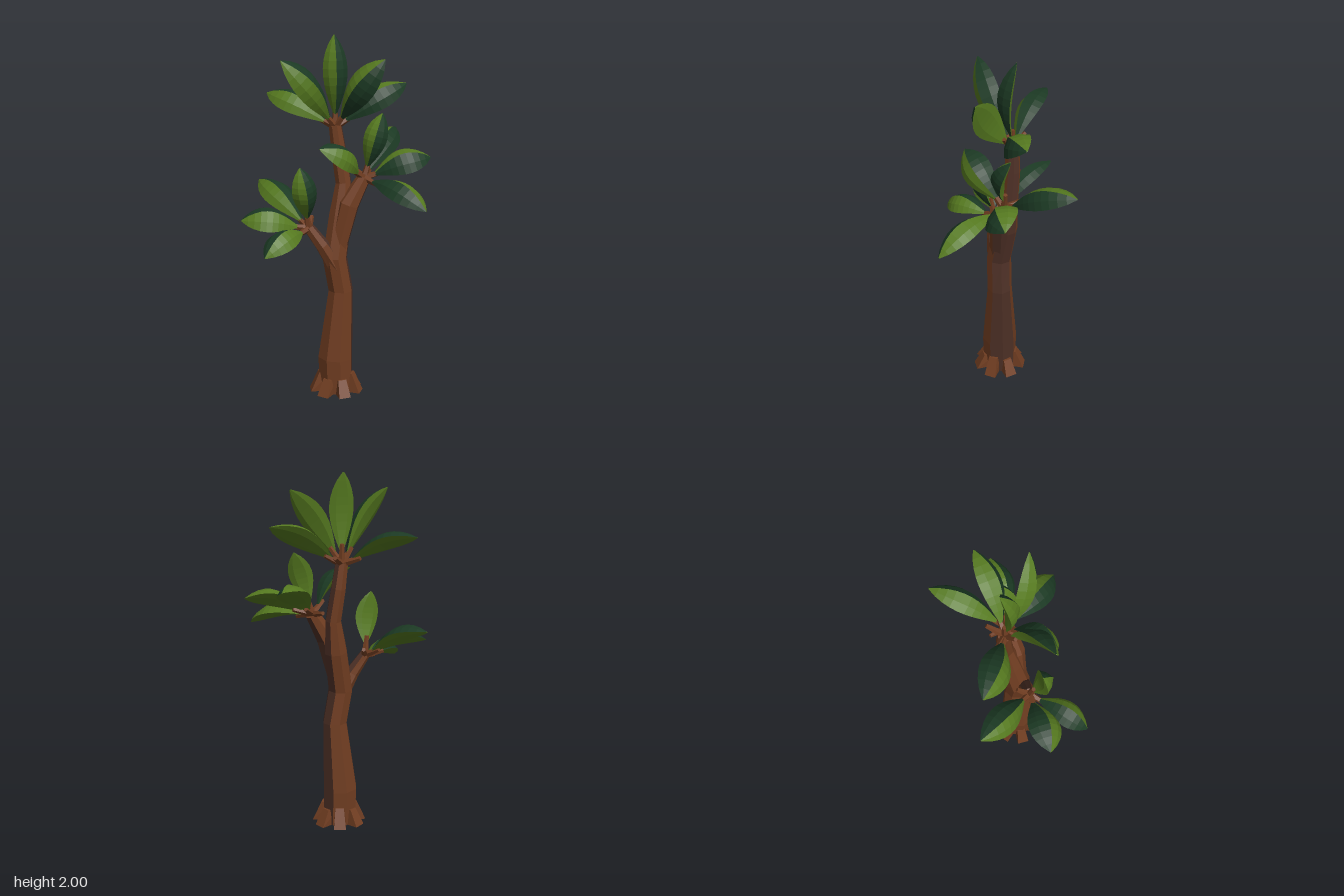
import * as THREE from 'three';

const V = (x, y, z) => new THREE.Vector3(x, y, z);
const mat = (name, color) => {
  const m = new THREE.MeshStandardMaterial({ color, flatShading: true });
  m.name = name;
  return m;
};

// Skin closed rings of points; dark(j) sends strip j to the second material
function loft(rings, dark) {
  const n = rings[0].length, last = rings.length - 1;
  const parts = [[], []];
  for (let i = 0; i < last; i++) {
    for (let j = 0; j < n; j++) {
      const k = (j + 1) % n;
      const [a, b, c, d] = [rings[i][j], rings[i][k], rings[i + 1][k], rings[i + 1][j]];
      parts[dark(j) ? 1 : 0].push(a, b, c, a, c, d);
    }
  }
  for (let j = 1; j < n - 1; j++) {
    const s = rings[0], e = rings[last];
    parts[0].push(s[0], s[j + 1], s[j], e[0], e[j], e[j + 1]);
  }
  const g = new THREE.BufferGeometry().setFromPoints([...parts[0], ...parts[1]]);
  g.addGroup(0, parts[0].length, 0);
  g.addGroup(parts[0].length, parts[1].length, 1);
  g.computeVertexNormals();
  return g;
}

// Faceted limb through [x, y, z, radius] stations
function limb(stations, sides) {
  const pts = stations.map(s => V(s[0], s[1], s[2]));
  const rings = pts.map((p, i) => {
    const t = pts[Math.min(i + 1, pts.length - 1)].clone().sub(pts[Math.max(i - 1, 0)]).normalize();
    const u = V(1, 0, 0).addScaledVector(t, -t.x).normalize();
    const v = t.clone().cross(u);
    return Array.from({ length: sides }, (_, j) => {
      const a = j / sides * Math.PI * 2 + 0.15, r = stations[i][3];
      return p.clone().addScaledVector(u, r * Math.cos(a)).addScaledVector(v, r * Math.sin(a));
    });
  });
  return loft(rings, j => j === 0 || j === sides - 1);
}

// Plump ridged leaf: left half and underside light, right half of the top dark
function leafGeometry(base, tip, half) {
  const d = tip.clone().sub(base), len = d.length();
  d.normalize();
  // steep leaves turn their top towards the front
  const n = V(0, 1, 0.35 + 0.85 * Math.max(0, d.y));
  n.addScaledVector(d, -n.dot(d)).normalize();
  const right = d.clone().cross(n);
  const section = [[-1, 0], [-0.6, 0.036], [0, 0.062], [0.6, 0.036], [1, 0], [0.5, -0.012], [-0.5, -0.012]];
  const rings = [];
  for (let i = 0; i <= 10; i++) {
    const t = i / 10;
    const w = Math.max(0.06, Math.pow(Math.max(0, Math.sin(Math.PI * Math.pow(t, 1.25))), 0.75));
    const bow = 0.028 * Math.sin(Math.PI * t);
    rings.push(section.map(([x, h]) => base.clone()
      .addScaledVector(d, len * t)
      .addScaledVector(right, x * half * w)
      .addScaledVector(n, bow + h * w)));
  }
  return loft(rings, j => j === 2 || j === 3);
}

export function createModel() {
  const bark = mat('bark', 0x703d21);
  const darkBark = mat('dark bark', 0x4c2f25);
  const leafLight = mat('light leaf', 0x567a20);
  const leafDark = mat('dark leaf', 0x1c3a24);
  const tree = new THREE.Group();
  tree.name = 'tree';
  const add = (name, geometry, materials, parent = tree) => {
    const m = new THREE.Mesh(geometry, materials);
    m.name = name;
    parent.add(m);
    return m;
  };
  const wood = [bark, darkBark];

  // Trunk and its two side branches
  add('trunk', limb([
    [0, 0, 0.02, 0.095], [-0.005, 0.2, 0.02, 0.1], [0.025, 0.6, 0.02, 0.07],
    [-0.008, 0.79, 0.022, 0.07], [0.028, 1.02, -0.015, 0.065], [0.047, 1.2, -0.035, 0.045],
    [0.022, 1.38, -0.05, 0.042], [0.003, 1.52, -0.05, 0.036],
  ], 8), wood);
  add('rightBranch', limb([
    [-0.005, 0.79, 0.025, 0.05], [0.07, 1.09, 0.02, 0.058], [0.155, 1.235, 0.005, 0.038],
  ], 7), wood);
  add('leftBranch', limb([
    [0, 0.74, 0.035, 0.052], [-0.08, 0.87, 0.048, 0.04], [-0.155, 0.975, 0.045, 0.03],
  ], 7), wood);

  // Flared roots around the foot
  for (let i = 0; i < 7; i++) {
    const g = new THREE.BoxGeometry(1, 0.11, 1);
    const p = g.attributes.position;
    for (let k = 0; k < p.count; k++) {
      const low = p.getY(k) < 0, outer = p.getZ(k) > 0;
      p.setX(k, Math.sign(p.getX(k)) * (outer ? (low ? 0.034 : 0.024) : 0.03));
      p.setZ(k, outer ? (low ? 0.148 : 0.1) : 0.03);
      p.setY(k, low ? 0 : 0.09 + 0.02 * (i % 2));
    }
    g.computeVertexNormals();
    const root = add('root', g, bark);
    root.position.set(0, 0, 0.02);
    root.rotation.y = (i + 0.25) / 7 * Math.PI * 2;
  }

  // Leaf clusters: centre, then leaf tips with half width, then bare stalk ends
  const clusters = [
    ['topCluster', V(0.003, 1.51, -0.045), [
      [-0.35, 1.67, -0.25, 0.088], [-0.3, 1.89, 0.12, 0.088], [0, 2, -0.07, 0.067],
      [0.24, 1.89, 0.14, 0.085], [0.4, 1.73, -0.1, 0.085]],
      [[0.06, 1.56, -0.13], [-0.08, 1.55, -0.12]]],
    ['rightCluster', V(0.155, 1.235, 0.005), [
      [-0.11, 1.44, 0.2, 0.085], [0.26, 1.58, -0.03, 0.064], [0.39, 1.44, -0.355, 0.08],
      [0.52, 1.34, 0.01, 0.098], [0.43, 1.125, 0.345, 0.085]],
      [[0.12, 1.26, -0.1]]],
    ['leftCluster', V(-0.155, 0.97, 0.045), [
      [-0.205, 1.32, 0.1, 0.068], [-0.4, 1.17, -0.29, 0.083],
      [-0.52, 1.03, 0.06, 0.1], [-0.41, 0.89, 0.305, 0.08]],
      [[-0.13, 1.02, -0.02]]],
  ];
  for (const [name, centre, leaves, stalks] of clusters) {
    const cluster = new THREE.Group();
    cluster.name = name;
    tree.add(cluster);
    const stalk = end => {
      const s = centre.clone().lerp(end, 0.1);
      add('stalk', limb([[...s, 0.02], [...end, 0.012]], 5), bark, cluster);
    };
    for (const [x, y, z, half] of leaves) {
      const tip = V(x, y, z);
      const base = centre.clone().lerp(tip, 0.05 / centre.distanceTo(tip));
      stalk(centre.clone().lerp(tip, 0.11 / centre.distanceTo(tip)));
      add('leaf', leafGeometry(base, tip, half), [leafLight, leafDark], cluster);
    }
    stalks.forEach(s => stalk(V(...s)));
  }
  return tree;
}
